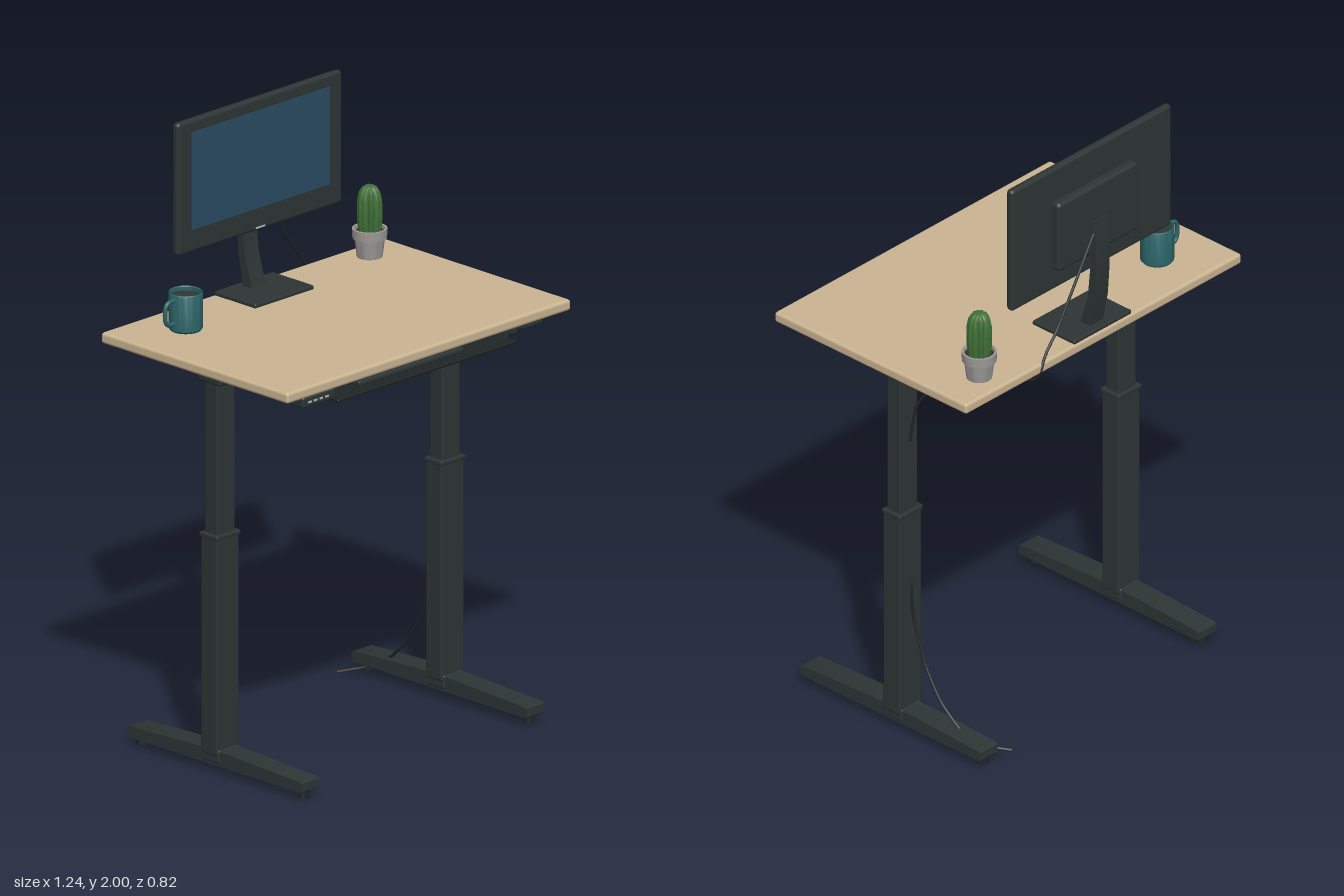
import * as THREE from 'three';
import { RoundedBoxGeometry } from 'three/addons/geometries/RoundedBoxGeometry.js';
import { toCreasedNormals } from 'three/addons/utils/BufferGeometryUtils.js';

const mat = (name, color, side = THREE.FrontSide) => {
  const m = new THREE.MeshStandardMaterial({ color, side });
  m.name = name;
  return m;
};

export function createModel() {
  const wood = mat('wood', 0xcbb592);
  const frame = mat('dark frame', 0x2d3534);
  const black = mat('black', 0x1f2424);
  const glass = mat('screen blue', 0x2a4a63);
  const teal = mat('teal ceramic', 0x2b6468, THREE.DoubleSide);
  const coffee = mat('dark drink', 0x2e3838);
  const clay = mat('grey pot', 0x9c9a97, THREE.DoubleSide);
  const green = mat('cactus green', 0x3f6f36);
  const soil = mat('soil', 0x3a322a);
  const silver = mat('light grey', 0xb4b8b8);

  const model = new THREE.Group();
  model.name = 'standingDesk';
  const add = (name, geo, m, x = 0, y = 0, z = 0, parent = model) => {
    const mesh = new THREE.Mesh(geo, m);
    mesh.name = name;
    mesh.position.set(x, y, z);
    parent.add(mesh);
    return mesh;
  };
  // box given by its limits, with optional rounded edges
  const box = (name, m, [x0, x1], [y0, y1], [z0, z1], r = 0, parent = model) => {
    const s = [x1 - x0, y1 - y0, z1 - z0];
    const geo = r ? new RoundedBoxGeometry(...s, 2, r) : new THREE.BoxGeometry(...s);
    return add(name, geo, m, (x0 + x1) / 2, (y0 + y1) / 2, (z0 + z1) / 2, parent);
  };
  // side profile of [z, y] points, extruded along x
  const profile = (name, m, pts, width, x = 0, parent = model) => {
    const geo = new THREE.ExtrudeGeometry(new THREE.Shape(pts.map(p => new THREE.Vector2(-p[0], p[1]))),
      { depth: width, bevelEnabled: false });
    geo.translate(0, 0, -width / 2).rotateY(Math.PI / 2);
    return add(name, toCreasedNormals(geo, 0.5), m, x, 0, 0, parent);
  };
  const cable = (name, pts) => {
    const curve = new THREE.CatmullRomCurve3(pts.map(p => new THREE.Vector3(...p)), false, 'catmullrom', 0.3);
    add(name, new THREE.TubeGeometry(curve, 40, 0.005, 6), black);
  };
  const lathe = (pts, n) =>
    toCreasedNormals(new THREE.LatheGeometry(pts.map(p => new THREE.Vector2(...p)), n), 0.6);

  // Desktop
  box('desktop', wood, [-0.622, 0.622], [1.33, 1.366], [-0.409, 0.406], 0.01);

  // Telescopic legs, feet and brackets
  const legZ = -0.017;
  for (const s of [-1, 1]) {
    const leg = new THREE.Group();
    leg.name = s < 0 ? 'rightLeg' : 'leftLeg';
    leg.position.x = s * 0.493;
    model.add(leg);
    box('lowerColumn', frame, [-0.05, 0.05], [0.06, 0.775], [legZ - 0.036, legZ + 0.036], 0.007, leg);
    box('collar', frame, [-0.053, 0.053], [0.767, 0.782], [legZ - 0.039, legZ + 0.039], 0.004, leg);
    box('upperColumn', frame, [-0.04, 0.04], [0.77, 1.3], [legZ - 0.028, legZ + 0.028], 0.006, leg);
    profile('foot', frame, [[0.378, 0.032], [0.378, 0.058], [0.37, 0.062], [0.06, 0.075], [-0.09, 0.075],
      [-0.376, 0.062], [-0.384, 0.058], [-0.384, 0.032], [-0.376, 0.027], [0.37, 0.027]], 0.08, 0, leg);
    box('footClamp', frame, [-0.045, 0.045], [0.035, 0.08], [legZ - 0.04, legZ + 0.04], 0.006, leg);
    for (const z of [0.347, -0.357])
      add('levelingFoot', new THREE.CylinderGeometry(0.016, 0.018, 0.03, 14), black, 0, 0.015, z, leg);
    profile('topBracket', frame, [[0.368, 0.0 + 1.305], [0.368, 1.33], [-0.37, 1.33], [-0.37, 1.305],
      [-0.34, 1.295], [0.34, 1.295]], 0.08, 0, leg);
    box('legHead', frame, [-0.05, 0.05], [1.275, 1.328], [legZ - 0.05, legZ + 0.05], 0.008, leg);
    box('trayRail', frame, [-s * 0.085 - 0.012, -s * 0.085 + 0.012], [1.3, 1.33], [0.04, 0.37], 0, leg);
  }
  box('crossbeam', frame, [-0.46, 0.46], [1.285, 1.327], [legZ - 0.035, legZ + 0.035], 0.006);

  // Height controller under the front edge
  box('heightController', frame, [-0.545, -0.4], [1.294, 1.33], [0.32, 0.398], 0.008);
  for (let i = 0; i < 4; i++)
    box('controllerButton', silver, [-0.525 + i * 0.025, -0.51 + i * 0.025], [1.309, 1.315], [0.396, 0.4]);

  // Keyboard tray
  const tray = new THREE.Group();
  tray.name = 'keyboardTray';
  model.add(tray);
  box('trayPlate', black, [-0.392, 0.392], [1.277, 1.287], [0.075, 0.398], 0.004, tray);
  box('trayPan', black, [-0.39, 0.375], [1.27, 1.28], [0.085, 0.33], 0.004, tray);
  for (const s of [-1, 1])
    box('traySide', frame, [s * 0.385 - 0.006, s * 0.385 + 0.006], [1.28, 1.32], [0.075, 0.36], 0, tray);
  box('trayBack', frame, [-0.385, 0.385], [1.28, 1.318], [0.075, 0.087], 0, tray);
  box('keyboard', frame, [-0.26, 0.2], [1.287, 1.303], [0.2, 0.36], 0.005, tray);
  add('trayKnob', new THREE.CylinderGeometry(0.025, 0.025, 0.009, 20), silver, -0.305, 1.2665, 0.265, tray);

  // Monitor
  const monitor = new THREE.Group();
  monitor.name = 'monitor';
  model.add(monitor);
  box('monitorBody', frame, [-0.361, 0.361], [1.565, 2.0], [-0.359, -0.331], 0.012, monitor);
  box('screen', glass, [-0.302, 0.303], [1.64, 1.96], [-0.333, -0.329], 0, monitor);
  box('powerLight', silver, [-0.02, 0.02], [1.573, 1.579], [-0.333, -0.3295], 0, monitor);
  box('rearHousing', frame, [-0.181, 0.181], [1.64, 1.885], [-0.388, -0.35], 0.013, monitor);
  profile('standNeck', frame, [[-0.38, 1.76], [-0.392, 1.76], [-0.402, 1.68], [-0.404, 1.58], [-0.397, 1.48],
    [-0.375, 1.37], [-0.335, 1.37], [-0.368, 1.48], [-0.378, 1.58], [-0.378, 1.66]], 0.06, 0, monitor);
  box('standBase', frame, [-0.129, 0.129], [1.364, 1.379], [-0.405, -0.225], 0.005, monitor);

  // Cables
  cable('monitorCable', [[0.03, 1.72, -0.394], [0.135, 1.565, -0.402], [0.2, 1.46, -0.403], [0.26, 1.385, -0.404],
    [0.283, 1.345, -0.409], [0.29, 1.31, -0.395], [0.31, 1.292, -0.34], [0.4, 1.265, -0.15],
    [0.47, 1.17, -0.065], [0.49, 1.03, -0.046]]);
  cable('powerCable', [[0.49, 0.52, -0.05], [0.49, 0.4, -0.062], [0.49, 0.25, -0.11], [0.488, 0.14, -0.175],
    [0.475, 0.06, -0.25], [0.45, 0.025, -0.32], [0.39, 0.008, -0.385]]);

  // Mug with handle
  const mug = new THREE.Group();
  mug.name = 'mug';
  mug.position.set(-0.416, 1.366, -0.243);
  model.add(mug);
  add('mugBody', lathe([[0.001, 0], [0.048, 0], [0.053, 0.006], [0.053, 0.122], [0.051, 0.125],
    [0.048, 0.122], [0.048, 0.1]], 32), teal, 0, 0, 0, mug);
  add('drink', new THREE.CylinderGeometry(0.0485, 0.0485, 0.004, 32), coffee, 0, 0.108, 0, mug);
  const handle = new THREE.CatmullRomCurve3([[-0.048, 0.105], [-0.078, 0.103], [-0.088, 0.09], [-0.088, 0.045],
    [-0.078, 0.032], [-0.048, 0.03]].map(p => new THREE.Vector3(p[0], p[1], 0)));
  add('mugHandle', new THREE.TubeGeometry(handle, 24, 0.007, 8), teal, 0, 0, 0, mug);

  // Potted cactus
  const plant = new THREE.Group();
  plant.name = 'pottedCactus';
  plant.position.set(0.468, 1.366, -0.32);
  model.add(plant);
  add('pot', lathe([[0.001, 0], [0.04, 0], [0.048, 0.062], [0.054, 0.062], [0.055, 0.093],
    [0.047, 0.093], [0.046, 0.075]], 32), clay, 0, 0, 0, plant);
  add('soil', new THREE.CylinderGeometry(0.0465, 0.0465, 0.006, 24), soil, 0, 0.079, 0, plant);
  const stem = new THREE.LatheGeometry([[0.034, 0.075], [0.039, 0.11], [0.04, 0.15], [0.039, 0.185],
    [0.034, 0.21], [0.024, 0.226], [0.012, 0.233], [0.0001, 0.234]].map(p => new THREE.Vector2(...p)), 80);
  const pos = stem.attributes.position;
  for (let i = 0; i < pos.count; i++) {
    const x = pos.getX(i), z = pos.getZ(i);
    const k = 0.78 + 0.22 * Math.abs(Math.cos(Math.atan2(x, z) * 5));
    pos.setX(i, x * k);
    pos.setZ(i, z * k);
  }
  add('cactus', toCreasedNormals(stem, 0.9), green, 0, 0, 0, plant);

  model.position.x = -0.002;
  return model;
}
